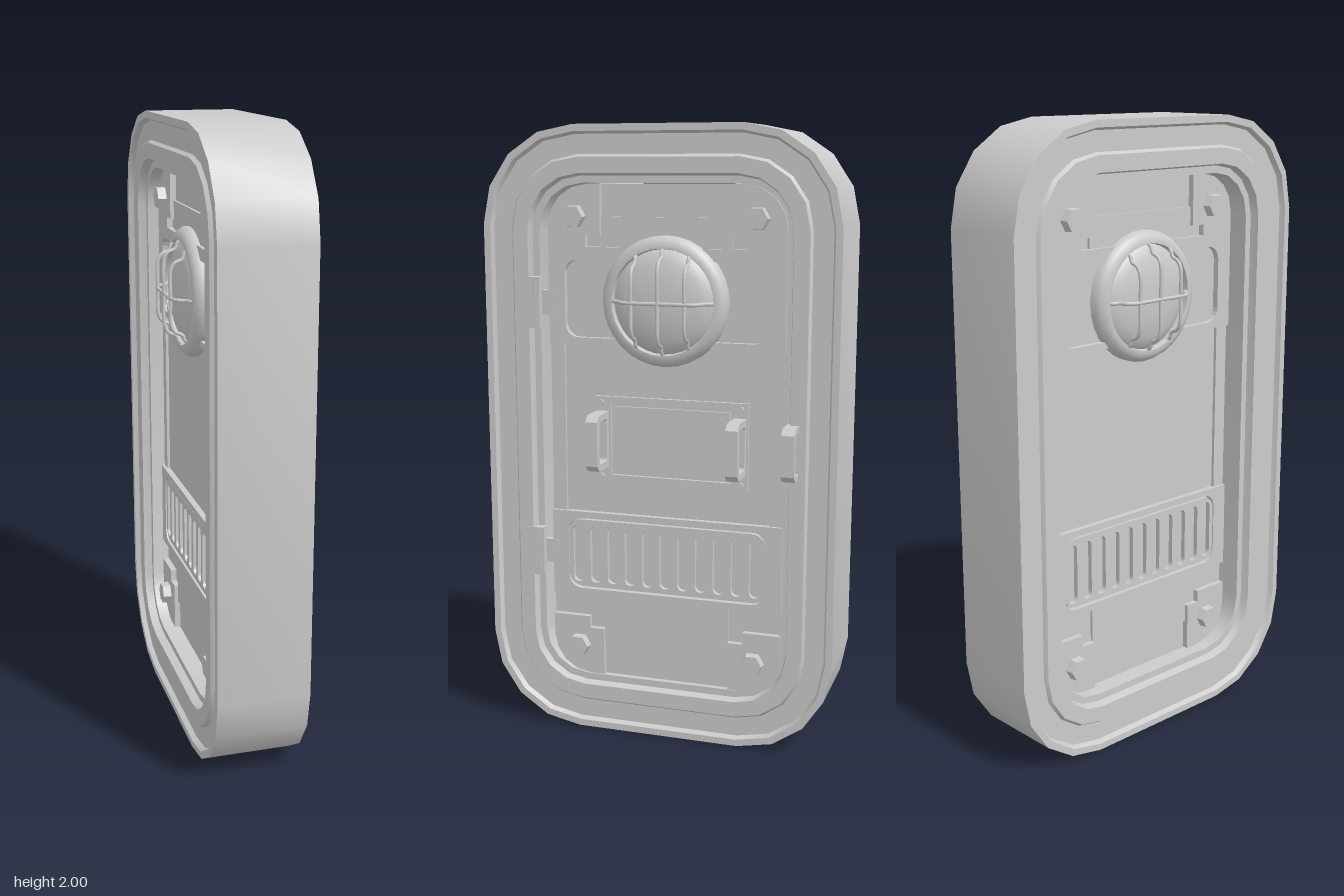
import * as THREE from 'three';
import { toCreasedNormals } from 'three/addons/utils/BufferGeometryUtils.js';

const mat = new THREE.MeshStandardMaterial({ color: 0xcccccc });
const V2 = (x, y) => new THREE.Vector2(x, y);

function add(parent, name, geo, x = 0, y = 0, z = 0) {
  const m = new THREE.Mesh(geo, mat);
  m.name = name;
  m.position.set(x, y, z);
  parent.add(m);
  return m;
}

// counter-clockwise rounded rectangle, n segments per corner
function roundRect(hw, hh, r, n = 4, cx = 0, cy = 0) {
  const pts = [];
  [[1, 1], [-1, 1], [-1, -1], [1, -1]].forEach(([sx, sy], q) => {
    for (let i = 0; i <= n; i++) {
      const a = (q + i / n) * Math.PI / 2;
      pts.push(V2(cx + sx * (hw - r) + r * Math.cos(a), cy + sy * (hh - r) + r * Math.sin(a)));
    }
  });
  return pts;
}

// flat plate between two depths, with optional holes
function plate(pts, z0, z1, holes = []) {
  const s = new THREE.Shape(pts);
  holes.forEach(h => s.holes.push(new THREE.Path(h)));
  const g = new THREE.ExtrudeGeometry(s, { depth: z1 - z0, bevelEnabled: false });
  g.translate(0, 0, z0);
  return g;
}

const rect = (x0, x1, y0, y1) => [V2(x0, y0), V2(x1, y0), V2(x1, y1), V2(x0, y1)];

// frame: stepped cross-section [inset, depth] swept round a rounded rectangle
function frameGeometry() {
  const face = [[0, 0.147], [0.022, 0.147], [0.03, 0.13], [0.092, 0.13], [0.1, 0.142], [0.15, 0.142], [0.157, 0.115], [0.18, 0.115]];
  const section = [...face, ...face.map(([i, d]) => [i, -d]).reverse()];
  const loops = section.map(([inset, d]) =>
    roundRect(0.585 - inset, 1 - inset, 0.31 - inset * 0.9).map(p => [p.x, p.y, d]));
  const pos = [], n = loops[0].length;
  loops.forEach((a, k) => {
    const b = loops[(k + 1) % loops.length];
    for (let i = 0; i < n; i++) {
      const j = (i + 1) % n;
      pos.push(...a[i], ...a[j], ...b[j], ...a[i], ...b[j], ...b[i]);
    }
  });
  const g = new THREE.BufferGeometry();
  g.setAttribute('position', new THREE.Float32BufferAttribute(pos, 3));
  return toCreasedNormals(g, 0.5);
}

// loop handle standing out along +z, from z0 to z1
function handleGeometry(z0, z1, halfH, width, t) {
  const c = 0.02;
  const outer = [V2(z0, -halfH), V2(z1 - c, -halfH), V2(z1, -halfH + c), V2(z1, halfH - c), V2(z1 - c, halfH), V2(z0, halfH)];
  const hole = roundRect((z1 - z0) / 2 - t, halfH - t, 0.008, 2, (z0 + z1) / 2, 0);
  const g = plate(outer, -width / 2, width / 2, [hole]);
  g.rotateY(-Math.PI / 2);
  return g;
}

function lamp() {
  const g = new THREE.Group();
  g.name = 'lamp';
  const ring = new THREE.LatheGeometry([V2(0.207, 0.07), V2(0.207, 0.1), V2(0.197, 0.118), V2(0.18, 0.128),
    V2(0.168, 0.128), V2(0.165, 0.11)], 32);
  ring.rotateX(Math.PI / 2);
  add(g, 'lampRing', toCreasedNormals(ring, 0.7));
  const dome = new THREE.LatheGeometry([V2(0.167, 0.1), V2(0.155, 0.115), V2(0.125, 0.128), V2(0.08, 0.137), V2(0.04, 0.141), V2(0, 0.142)], 32);
  dome.rotateX(Math.PI / 2);
  add(g, 'lampDome', dome);
  // cage bars: bent wire spanning the dome
  const bar = (span, x, turn) => {
    const p = [[-span, 0.115], [-span + 0.012, 0.13], [-span + 0.03, 0.137], [-span + 0.042, 0.162], [-span + 0.065, 0.174]];
    const pts = [...p, [0, 0.175], ...p.map(([a, b]) => [-a, b]).reverse()]
      .map(([a, b]) => new THREE.Vector3(x, a, b));
    const m = add(g, 'cageBar', new THREE.TubeGeometry(new THREE.CatmullRomCurve3(pts), 40, 0.006, 8));
    m.rotation.z = turn;
  };
  bar(0.17, 0, 0);
  bar(0.17, 0, Math.PI / 2);
  bar(0.15, -0.087, 0);
  bar(0.15, 0.087, 0);
  return g;
}

// relief shared by both faces of the door, z measured from the door's mid-plane
function doorFace(name) {
  const g = new THREE.Group();
  g.name = name;
  const top = 0.1, W = 0.392;
  const window = (y0, y1) => roundRect(0.337, (y1 - y0) / 2, 0.045, 5, 0, (y0 + y1) / 2);
  add(g, 'lampBand', plate(rect(-W, W, 0.31, 0.62), 0.07, top, [window(0.33, 0.58)]));
  add(g, 'grilleBand', plate(rect(-W, W, -0.54, -0.252), 0.07, top, [window(-0.517, -0.273)]));
  const slots = [];
  for (let i = -5; i <= 5; i++) slots.push(roundRect(0.019, 0.098, 0.0185, 5, i * 0.0605, -0.397));
  add(g, 'grille', plate(window(-0.51, -0.28), 0.07, 0.096, slots));
  for (const sx of [-1, 1]) {
    add(g, 'sideRail', plate(rect(sx * 0.345, sx * W, -0.26, 0.32), 0.07, 0.09));
    for (const sy of [-1, 1]) {
      // stepped corner plate with a hex bolt
      const arc = roundRect(W, 0.815, 0.13).slice(0, 5);
      const pts = [...arc, V2(0.215, 0.815), V2(0.215, 0.655), V2(0.265, 0.655), V2(0.265, 0.615), V2(W, 0.615)]
        .map(p => V2(p.x * sx, p.y * sy));
      add(g, 'cornerPlate', plate(pts, 0.07, top));
      const bolt = new THREE.CylinderGeometry(0.036, 0.04, 0.04, 6).toNonIndexed();
      bolt.computeVertexNormals();
      bolt.rotateX(Math.PI / 2);
      bolt.rotateZ(Math.PI / 6);
      add(g, 'bolt', bolt, sx * 0.3, sy * 0.715, 0.108);
    }
  }
  add(g, 'topPlate', plate(rect(-0.215, 0.215, 0.61, 0.715), 0.07, 0.088));
  add(g, 'bottomPlate', plate(rect(-0.215, 0.215, -0.715, -0.53), 0.07, 0.088));
  const l = lamp();
  l.position.y = 0.453;
  g.add(l);
  return g;
}

export function createModel() {
  const model = new THREE.Group();
  model.name = 'bulkheadDoor';
  const body = new THREE.Group(); // built facing +z, then turned to face +x
  body.name = 'doorAssembly';
  body.rotation.y = Math.PI / 2;
  body.position.y = 1;
  model.add(body);

  add(body, 'frame', frameGeometry(), 0, 0, -0.0325);

  // door leaf, slightly off centre so a gap shows on the hinge side
  const door = new THREE.Group();
  door.name = 'door';
  door.position.set(0.02, 0, -0.01);
  body.add(door);
  add(door, 'doorPanel', plate(roundRect(0.395, 0.817, 0.13), -0.08, 0.08));
  const front = doorFace('outerFace');
  const back = doorFace('innerFace');
  back.rotation.y = Math.PI;
  door.add(front, back);

  // raised centre plate with its two handles
  const cx = 0.017;
  add(front, 'centrePlate', plate(rect(cx - 0.257, cx + 0.257, -0.146, 0.14), 0.07, 0.092,
    [rect(cx - 0.203, cx + 0.203, -0.12, 0.114)]));
  add(front, 'centrePanel', plate(rect(cx - 0.197, cx + 0.197, -0.114, 0.108), 0.07, 0.088));
  for (const s of [-1, 1]) {
    add(front, 'handle', handleGeometry(0.088, 0.199, 0.092, 0.04, 0.022), cx + s * 0.231);
    for (const y of [-0.125, 0.12]) {
      const rivet = new THREE.CylinderGeometry(0.01, 0.01, 0.012, 10);
      rivet.rotateX(Math.PI / 2);
      add(front, 'rivet', rivet, cx + s * 0.235, y, 0.095);
    }
  }

  // latch handle on the frame
  add(body, 'latch', handleGeometry(0.07, 0.174, 0.085, 0.042, 0.018), 0.442);

  // hinges on the other side
  for (const y of [0.44, -0.395]) {
    const hinge = new THREE.Group();
    hinge.name = 'hinge';
    hinge.position.y = y;
    body.add(hinge);
    add(hinge, 'hingePlate', new THREE.BoxGeometry(0.062, 0.165, 0.03), -0.428, 0, 0.098);
    add(hinge, 'hingeArm', new THREE.BoxGeometry(0.06, 0.08, 0.02), -0.385, 0, 0.082);
    for (const k of [-1, 0, 1])
      add(hinge, 'hingeKnuckle', new THREE.CylinderGeometry(k ? 0.016 : 0.012, k ? 0.016 : 0.012, 0.042, 12), -0.412, k * 0.045, 0.098);
  }
  return model;
}
